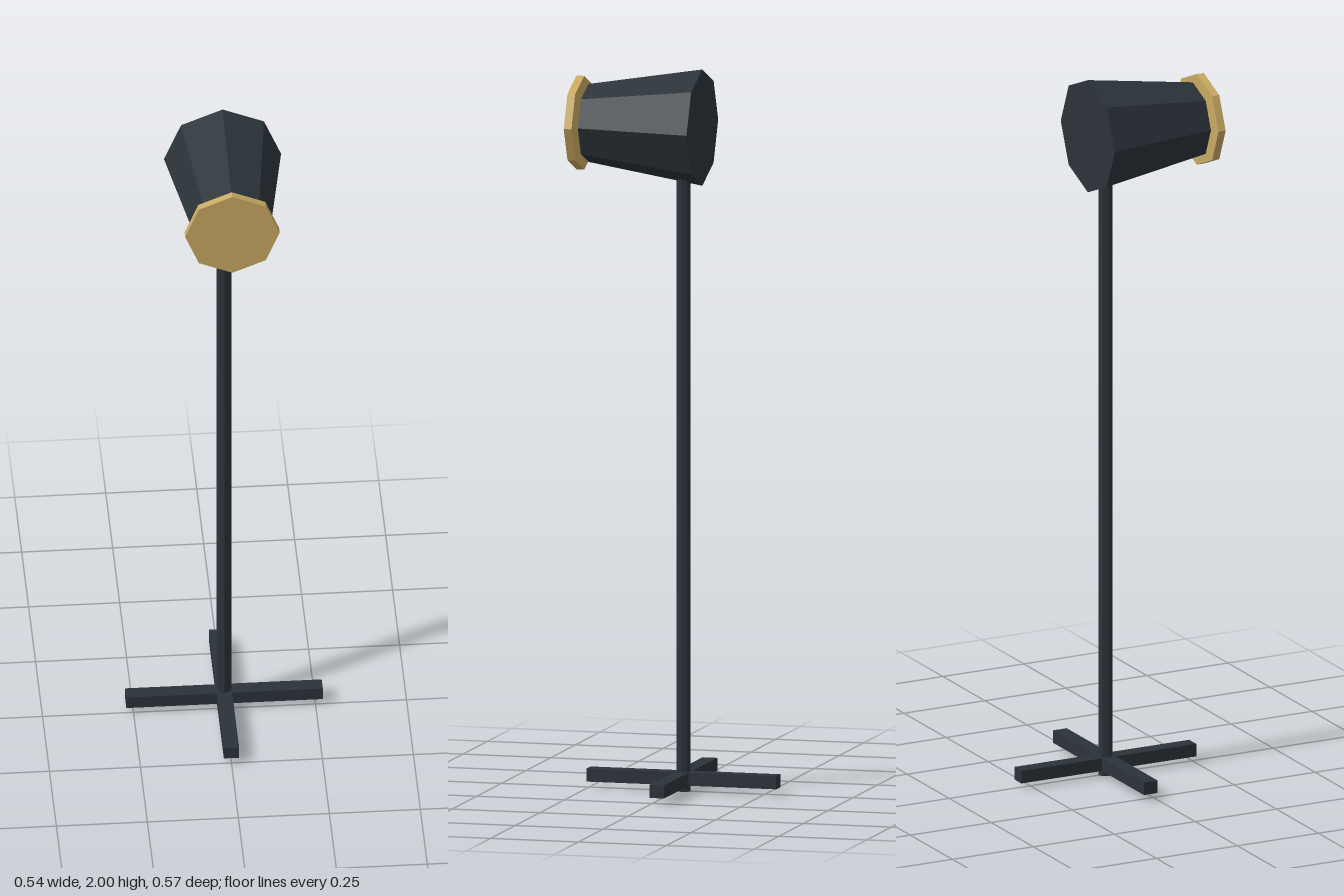
import * as THREE from 'three';

export function createModel() {
  const group = new THREE.Group();
  const darkMetal = new THREE.MeshStandardMaterial({ color: 0x2b333a, flatShading: true });
  darkMetal.name = 'dark metal';
  const amberGlass = new THREE.MeshStandardMaterial({ color: 0xc9a962, flatShading: true });
  amberGlass.name = 'amber glass';

  const POLE_Z = -0.018;
  const HEAD_Y = 1.839;

  const add = (name, geometry, material, x, y, z) => {
    const mesh = new THREE.Mesh(geometry, material);
    mesh.name = name;
    mesh.position.set(x, y, z);
    group.add(mesh);
    return mesh;
  };

  // Crossed feet
  for (const [name, angle] of [['footBarSide', 0], ['footBarFront', Math.PI / 2]]) {
    add(name, new THREE.BoxGeometry(0.54, 0.036, 0.042), darkMetal, 0, 0.036, POLE_Z).rotation.y = angle;
  }

  // Upright pole, ending inside the lamp head
  const poleHeight = 1.75;
  add('pole', new THREE.CylinderGeometry(0.02, 0.02, poleHeight, 8), darkMetal, 0, poleHeight / 2, POLE_Z);

  // Octagonal drum along z, spanning back to front
  const drum = (name, frontRadius, backRadius, back, front, material) => {
    const geometry = new THREE.CylinderGeometry(frontRadius, backRadius, front - back, 8);
    geometry.rotateX(Math.PI / 2);
    add(name, geometry, material, 0, HEAD_Y, (back + front) / 2);
  };

  // Tapered lamp housing and the lens floating just ahead of it
  drum('lampHousing', 0.108, 0.161, -0.072, 0.252, darkMetal);
  drum('lens', 0.13, 0.13, 0.264, 0.286, amberGlass);

  return group;
}
